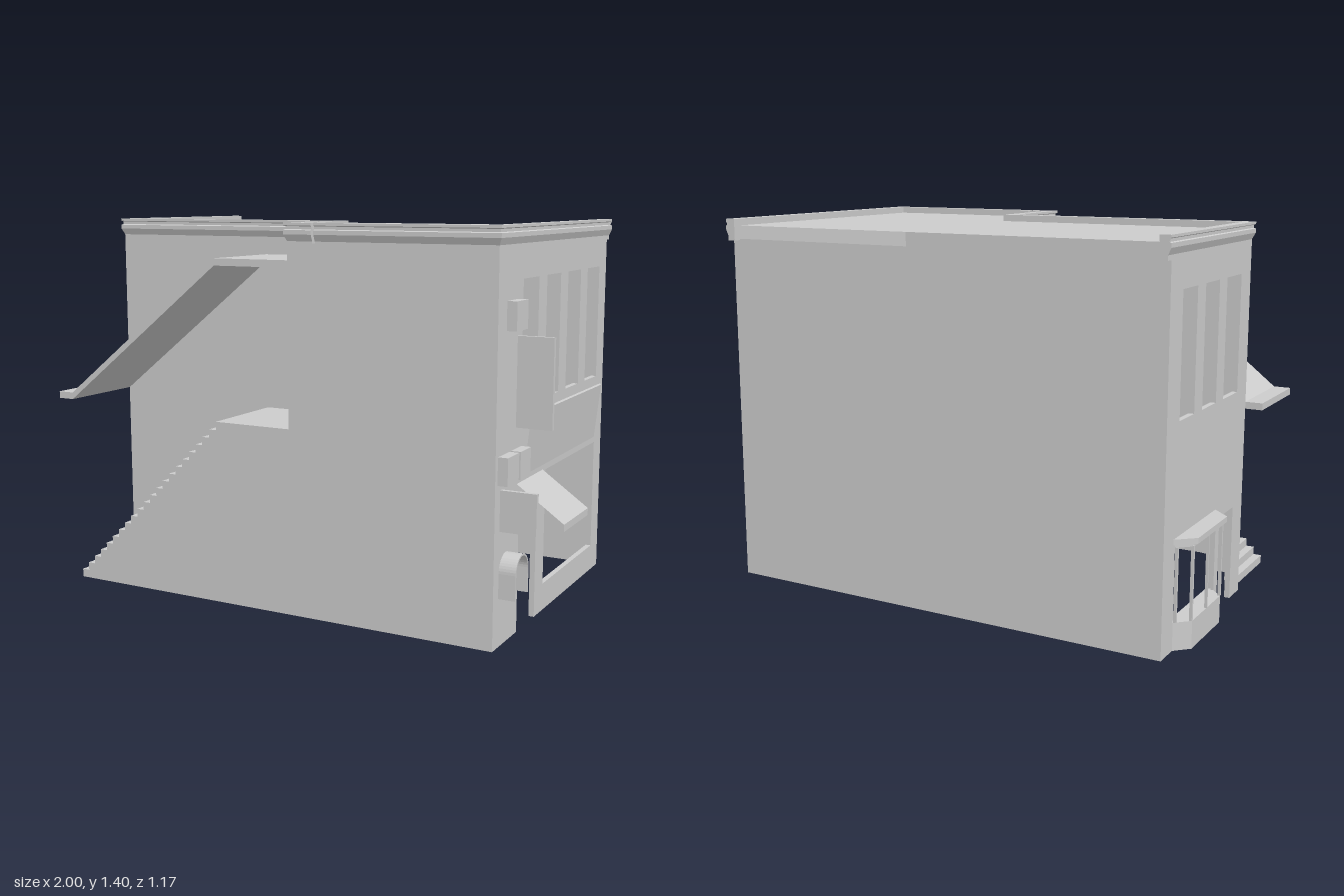
import * as THREE from 'three';

const mat = new THREE.MeshStandardMaterial({ color: 0xcccccc, side: THREE.DoubleSide, flatShading: true });

const X0 = -0.935, X1 = 0.83, XN = 0.05;     // end walls and stairwell end
const Z0 = -0.555, Z1 = 0.575, ZN = 0.22;    // back, front, stairwell back
const WALL_TOP = 1.33, ROOF = 1.375, LANDING = 0.68;

export function createModel() {
  const model = new THREE.Group();

  const add = (name, geo, parent = model) => {
    const m = new THREE.Mesh(geo, mat);
    m.name = name;
    parent.add(m);
    return m;
  };
  const group = (name) => {
    const g = new THREE.Group();
    g.name = name;
    model.add(g);
    return g;
  };
  // box from min/max corners
  const box = (name, x0, x1, y0, y1, z0, z1, parent) => {
    const g = new THREE.BoxGeometry(x1 - x0, y1 - y0, z1 - z0);
    g.translate((x0 + x1) / 2, (y0 + y1) / 2, (z0 + z1) / 2);
    return add(name, g, parent);
  };
  const rect = (a0, a1, b0, b1) => [[a0, b0], [a1, b0], [a1, b1], [a0, b1]];
  const toShape = (pts, holes = []) => {
    const vec = (p) => p.map(([a, b]) => new THREE.Vector2(a, b));
    const s = new THREE.Shape(vec(pts));
    for (const h of holes) s.holes.push(new THREE.Path(vec(h)));
    return s;
  };
  const extrude = (shape, depth) =>
    new THREE.ExtrudeGeometry(shape, { depth, bevelEnabled: false, curveSegments: 10 });
  // thin sheet: an (x, y) line swept from z0 to z1
  const sheet = (name, pts, z0, z1, parent) => {
    const pos = [];
    for (let i = 0; i + 1 < pts.length; i++) {
      const [[ax, ay], [bx, by]] = [pts[i], pts[i + 1]];
      pos.push(ax, ay, z1, bx, by, z1, bx, by, z0, ax, ay, z1, bx, by, z0, ax, ay, z0);
    }
    const g = new THREE.BufferGeometry();
    g.setAttribute('position', new THREE.Float32BufferAttribute(pos, 3));
    g.computeVertexNormals();
    return add(name, g, parent);
  };

  // Stair line, shared by steps and the walls beside them
  const STEPS = 22, RUN = 0.65 / (STEPS - 1), RISE = LANDING / STEPS;
  const stairs = [[-0.91, 0]];
  for (let i = 0; i < STEPS; i++) {
    const x = -0.91 + i * RUN, y = (i + 1) * RISE;
    stairs.push([x, y], [i < STEPS - 1 ? x + RUN : XN, y]);
  }
  sheet('stairs', stairs, ZN, Z1);

  // Long walls
  add('frontWall', new THREE.ShapeGeometry(toShape(
    [...stairs, [XN, WALL_TOP], [X1, WALL_TOP], [X1, 0]]))).position.z = Z1;
  add('stairwellBackWall', new THREE.ShapeGeometry(toShape(
    [[X0, 0], ...stairs, [XN, WALL_TOP], [X0, WALL_TOP]]))).position.z = ZN;
  add('backWall', new THREE.ShapeGeometry(toShape(rect(X0, X1, 0, 1.325)))).position.z = Z0;

  // End walls, drawn in (z, y) and given a thickness for the reveals
  const endWall = (name, outline, holes, x, depth) => {
    const s = toShape(outline, holes);
    const g = depth ? extrude(s, depth) : new THREE.ShapeGeometry(s);
    g.rotateY(-Math.PI / 2);
    add(name, g).position.x = x;
  };
  const win = (a, b) => rect(a, b, 0.79, 1.22);
  endWall('streetWall',
    [[Z0, 0], [0.18, 0], [0.18, 0.355], [0.355, 0.355], [0.355, 0], [Z1, 0], [Z1, WALL_TOP], [Z0, WALL_TOP]],
    [win(-0.47, -0.325), win(-0.245, -0.1), win(-0.02, 0.125), win(0.205, 0.355), rect(-0.47, 0.095, 0.1, 0.525)],
    X1, 0.02);
  endWall('rearEndWall',
    [[Z0, 0], [-0.025, 0], [-0.025, 0.355], [0.12, 0.355], [0.12, 0], [ZN, 0], [ZN, WALL_TOP], [Z0, WALL_TOP]],
    [win(-0.447, -0.315), win(-0.24, -0.105), win(-0.03, 0.12), rect(-0.455, -0.08, 0.1, 0.395)],
    X0 + 0.02, 0.02);
  endWall('landingWall',
    [[ZN, LANDING], [0.3, LANDING], [0.3, 1.03], [0.48, 1.03], [0.48, LANDING], [Z1, LANDING], [Z1, WALL_TOP], [ZN, WALL_TOP]],
    [], XN, 0);

  // Sloping cover over the stairs
  const slope = [[-1, 0.71], [X0, 0.71], [-0.26, 1.245], [XN, 1.245]];
  add('stairCover', extrude(toShape([...slope, ...slope.map(([x, y]) => [x, y + 0.026]).reverse()]), Z1 - 0.005 - ZN))
    .position.z = ZN;

  // Flat roof, open below its back edge
  const roof = new THREE.ShapeGeometry(toShape(
    [[X0, Z0], [X1, Z0], [X1, Z1 - 0.01], [XN, Z1 - 0.01], [XN, ZN], [X0, ZN]]));
  roof.rotateX(Math.PI / 2);
  add('roof', roof).position.y = ROOF;

  // Cornice: (offset, y) profile swept with mitred corners, in two runs with a slit between
  const profile = [[-0.03, 1.32], [0, 1.32], [0, 1.337], [0.01, 1.36], [0.01, 1.375],
    [0.004, 1.378], [0.004, 1.388], [0.01, 1.391], [0.01, 1.4], [-0.03, 1.4]];
  const runs = [
    (o) => [[X0 - o, -0.585], [X0 - o, ZN + o], [XN - o, ZN + o], [XN - o, Z1 + o], [0.15, Z1 + o]],
    (o) => [[0.16, Z1 + o], [X1 + o, Z1 + o], [X1 + o, -0.585]],
  ];
  const cornice = group('cornice');
  for (const run of runs) {
    const n = profile.length, count = run(0).length, pos = [], idx = [];
    for (let i = 0; i < count; i++)
      for (const [o, y] of profile) { const [x, z] = run(o)[i]; pos.push(x, y, z); }
    for (let i = 0; i + 1 < count; i++)
      for (let j = 0; j < n; j++) {
        const a = i * n + j, b = i * n + (j + 1) % n;
        idx.push(a, a + n, b, b, a + n, b + n);
      }
    const e = (count - 1) * n;
    for (let j = 1; j + 1 < n; j++) idx.push(0, j, j + 1, e, e + j + 1, e + j);
    const g = new THREE.BufferGeometry();
    g.setAttribute('position', new THREE.Float32BufferAttribute(pos, 3));
    g.setIndex(idx);
    const flat = g.toNonIndexed();
    flat.computeVertexNormals();
    add('corniceRun', flat, cornice);
  }

  // Bay window on the rear end wall
  const bay = group('bayWindow');
  const slab = (name, out, zA, zB, splay, y0, y1) => {
    const g = extrude(toShape([[X0, zA], [out, zA + splay], [out, zB - splay], [X0, zB]]), y1 - y0);
    g.rotateX(Math.PI / 2);
    add(name, g, bay).position.y = y1;
  };
  slab('bayBase', -0.985, -0.455, -0.08, 0.05, 0, 0.1);
  slab('bayHead', -0.985, -0.455, -0.08, 0.05, 0.362, 0.38);
  slab('bayCap', -1, -0.47, -0.07, 0.06, 0.375, 0.395);
  for (const [x, z, w] of [[-0.94, -0.448, 0.01], [-0.98, -0.405, 0.01], [-0.982, -0.267, 0.005], [-0.98, -0.127, 0.01], [-0.94, -0.085, 0.01]])
    box('bayPost', x - 0.005, x + 0.005, 0.1, 0.365, z - w / 2, z + w / 2, bay);

  // Tilted fascia panel and door awning on the street wall
  sheet('fasciaPanel', [[X1, 0.55], [0.835, 0.55], [0.858, 0.76], [0.853, 0.765]], -0.45, 0.33);
  sheet('awning', [[X1, 0.53], [1, 0.41], [1, 0.385]], 0.125, 0.38);

  // Wall boxes and projecting boards
  const fittings = group('wallFittings');
  box('wallBox', X1, 0.865, 1.06, 1.157, 0.4, 0.5, fittings);
  box('wallBox', X1, 0.865, 0.56, 0.655, 0.455, 0.555, fittings);
  box('wallBox', X1, 0.865, 0.56, 0.655, 0.345, 0.44, fittings);
  box('tallBoard', X1, 0.957, 0.727, 1.035, 0.384, 0.399, fittings);
  box('smallBoard', X1, 0.957, 0.4, 0.54, 0.514, 0.53, fittings);

  // Arched hood with a small box inside
  const hood = new THREE.Shape();
  hood.moveTo(0.41, 0.17).lineTo(0.41, 0.257).absarc(0.47, 0.257, 0.06, Math.PI, 0, true);
  hood.lineTo(0.53, 0.17).lineTo(0.524, 0.17).lineTo(0.524, 0.257).absarc(0.47, 0.257, 0.054, 0, Math.PI, false);
  hood.lineTo(0.416, 0.17);
  const hoodGeo = extrude(hood, 0.06);
  hoodGeo.rotateY(-Math.PI / 2);
  add('archedHood', hoodGeo, fittings).position.x = X1 + 0.06;
  const unit = extrude(toShape([[X1, 0.17], [0.857, 0.17], [0.857, 0.235], [0.845, 0.255], [X1, 0.255]]), 0.05);
  add('hoodUnit', unit, fittings).position.z = 0.445;

  return model;
}
